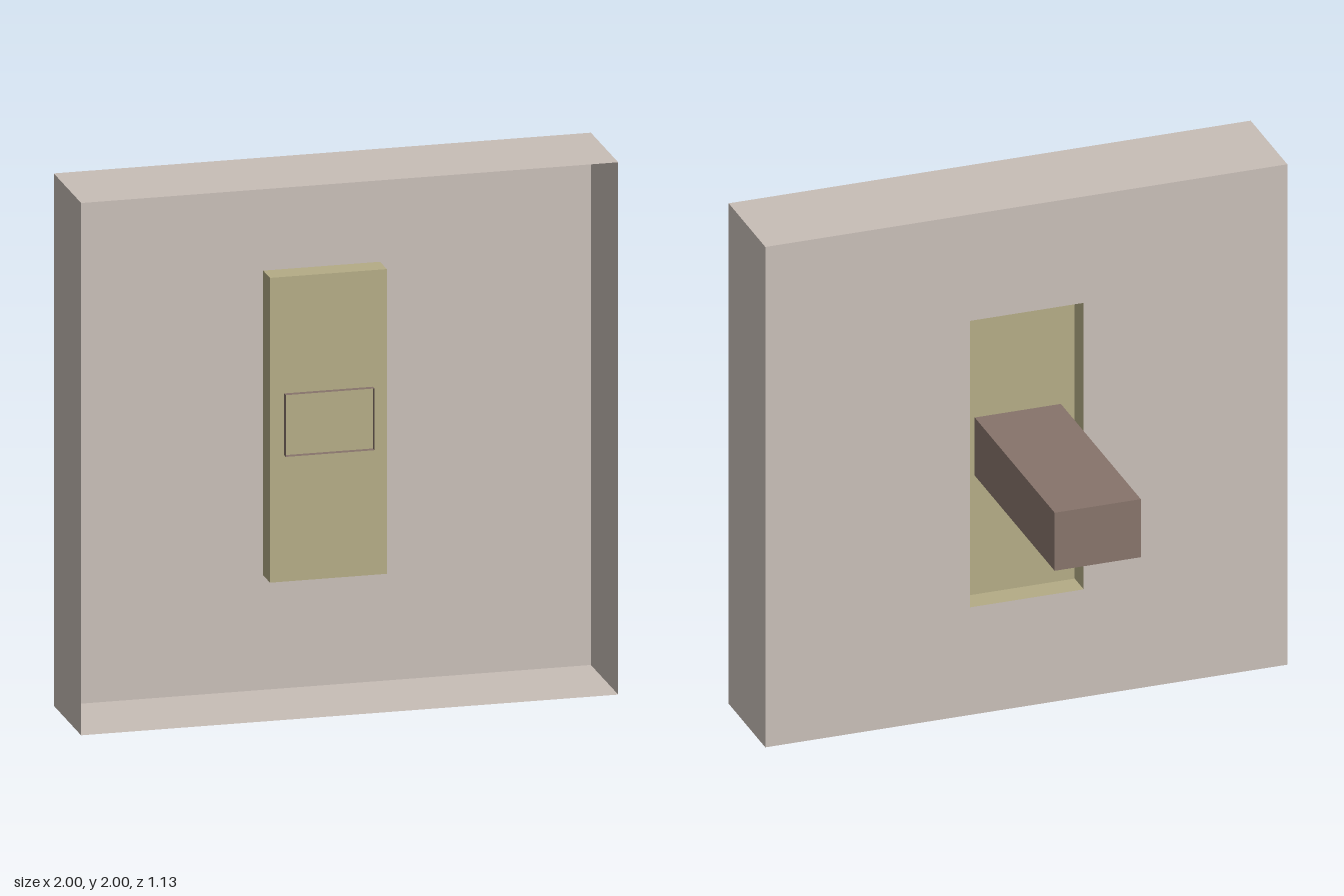
import * as THREE from 'three';

const material = (name, color) =>
  new THREE.MeshStandardMaterial({ name, color, side: THREE.DoubleSide });

// Thin-walled box between two corners; omitted faces are left open.
// Face order: +x, -x, +y, -y, +z, -z
function openBox(name, mat, min, max, openFaces) {
  const size = max.map((v, i) => v - min[i]);
  const geometry = new THREE.BoxGeometry(...size);
  const index = Array.from(geometry.index.array);
  geometry.setIndex(index.filter((_, i) => !openFaces.includes(Math.floor(i / 6))));
  geometry.clearGroups();
  geometry.translate(...max.map((v, i) => (v + min[i]) / 2));
  const mesh = new THREE.Mesh(geometry, mat);
  mesh.name = name;
  return mesh;
}

const rectangle = (Type, x0, y0, x1, y1) =>
  new Type([[x0, y0], [x1, y0], [x1, y1], [x0, y1]].map(p => new THREE.Vector2(...p)));

export function createModel() {
  const group = new THREE.Group();
  group.name = 'wallLever';
  const plaster = material('paleStone', 0xc8beb7);
  const olive = material('olive', 0xb4ac86);
  const brown = material('brown', 0x87746b);

  const FRONT = 0.565, WALL = 0.18, POCKET = 0.275;
  const slot = { x0: -0.22, y0: 0.43, x1: 0.215, y1: 1.575 };

  // Rim around the panel, open at front and back
  group.add(openBox('panelRim', plaster, [-1, 0, WALL], [1, 2, FRONT], [4, 5]));

  // Panel face with the slot cut out
  const face = rectangle(THREE.Shape, -1, 0, 1, 2);
  face.holes.push(rectangle(THREE.Path, slot.x0, slot.y0, slot.x1, slot.y1));
  const panel = new THREE.Mesh(new THREE.ShapeGeometry(face), plaster);
  panel.name = 'panelFace';
  panel.position.z = WALL;
  group.add(panel);

  // Recessed pocket, open to the back
  group.add(openBox('slotPocket', olive,
    [slot.x0, slot.y0, WALL], [slot.x1, slot.y1, POCKET], [5]));

  // Hollow lever passing through the pocket, its inner end open
  group.add(openBox('lever', brown, [-0.167, 0.905, -0.565], [0.163, 1.137, 0.298], [4]));

  return group;
}
